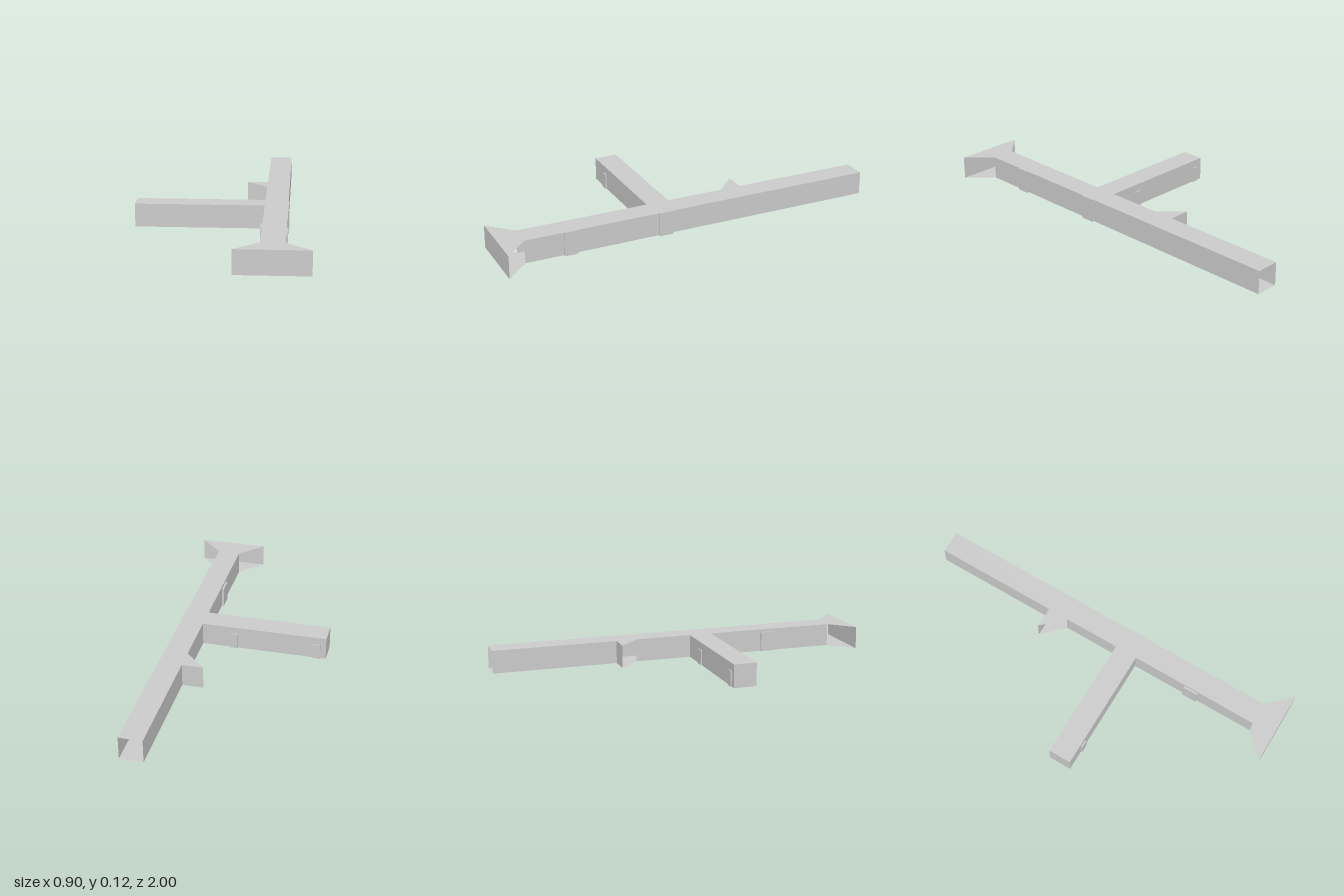
import * as THREE from 'three';

const FLOOR = 0.005, CEILING = 0.125;

export function createModel() {
  const model = new THREE.Group();
  const material = new THREE.MeshStandardMaterial({ color: 0xcccccc, flatShading: true, side: THREE.DoubleSide });
  const add = (name, geometry, x = 0, y = 0, z = 0) => {
    const mesh = new THREE.Mesh(geometry, material);
    mesh.name = name;
    mesh.position.set(x, y, z);
    model.add(mesh);
    return mesh;
  };

  // Floor and ceiling share one plan, as x and z: corridor, side branch, angled stub and flared end
  const plan = [
    [0.21, -1], [0.33, -1], [0.33, 0.88], [0.45, 1], [0.09, 1], [0.21, 0.88],
    [0.21, 0.19], [-0.45, 0.19], [-0.45, 0.07], [0.21, 0.07],
    [0.21, -0.23], [0.1, -0.34], [0.21, -0.34],
  ];
  const slab = new THREE.ShapeGeometry(new THREE.Shape(plan.map(([x, z]) => new THREE.Vector2(x, z))));
  slab.rotateX(Math.PI / 2);
  add('floor', slab, 0, FLOOR);
  add('ceiling', slab, 0, CEILING);

  // Thin upright walls; the back end and the diagonal mouths stay open
  const wall = (name, x0, z0, x1, z1) => {
    const height = CEILING - FLOOR;
    const panel = new THREE.PlaneGeometry(Math.hypot(x1 - x0, z1 - z0), height);
    const mesh = add(name, panel, (x0 + x1) / 2, FLOOR + height / 2, (z0 + z1) / 2);
    mesh.rotation.y = -Math.atan2(z1 - z0, x1 - x0);
  };
  wall('corridorLeftWall', 0.33, 0.88, 0.33, -1);
  wall('corridorRightWallBack', 0.21, -1, 0.21, -0.34);
  wall('corridorRightWallMiddle', 0.21, -0.23, 0.21, 0.07);
  wall('corridorRightWallFront', 0.21, 0.19, 0.21, 0.88);
  wall('flaredEndWall', 0.09, 1, 0.45, 1);
  wall('stubBackWall', 0.21, -0.34, 0.1, -0.34);
  wall('branchFrontWall', -0.45, 0.19, 0.21, 0.19);
  wall('branchBackWall', 0.21, 0.07, -0.45, 0.07);
  wall('branchEndWall', -0.45, 0.07, -0.45, 0.19);

  // Shallow doors standing proud of the walls: name, x range, y range, z range
  const doors = [
    ['corridorDoorFront', 0.33, 0.335, 0, 0.124, 0.61, 0.68],
    ['corridorDoorMiddle', 0.33, 0.335, 0, 0.124, 0.1, 0.175],
    ['corridorDoorRight', 0.2, 0.21, FLOOR, 0.11, 0.48, 0.56],
    ['branchDoorFront', -0.34, -0.3, FLOOR, 0.086, 0.19, 0.197],
    ['branchDoorBackOuter', -0.42, -0.38, FLOOR, 0.086, 0.064, 0.07],
    ['branchDoorBackInner', 0.02, 0.06, FLOOR, 0.086, 0.064, 0.07],
  ];
  for (const [name, x0, x1, y0, y1, z0, z1] of doors) {
    add(name, new THREE.BoxGeometry(x1 - x0, y1 - y0, z1 - z0), (x0 + x1) / 2, (y0 + y1) / 2, (z0 + z1) / 2);
  }

  // Tiny round-topped hatch at the foot of the corridor wall
  const arch = new THREE.Shape();
  arch.moveTo(-0.013, 0);
  arch.lineTo(0.013, 0);
  arch.lineTo(0.013, 0.012);
  arch.absarc(0, 0.012, 0.013, 0, Math.PI, false);
  const hatch = new THREE.ExtrudeGeometry(arch, { depth: 0.002, bevelEnabled: false, curveSegments: 8 });
  add('archedHatch', hatch, 0.33, FLOOR, 0.395).rotation.y = Math.PI / 2;

  return model;
}
